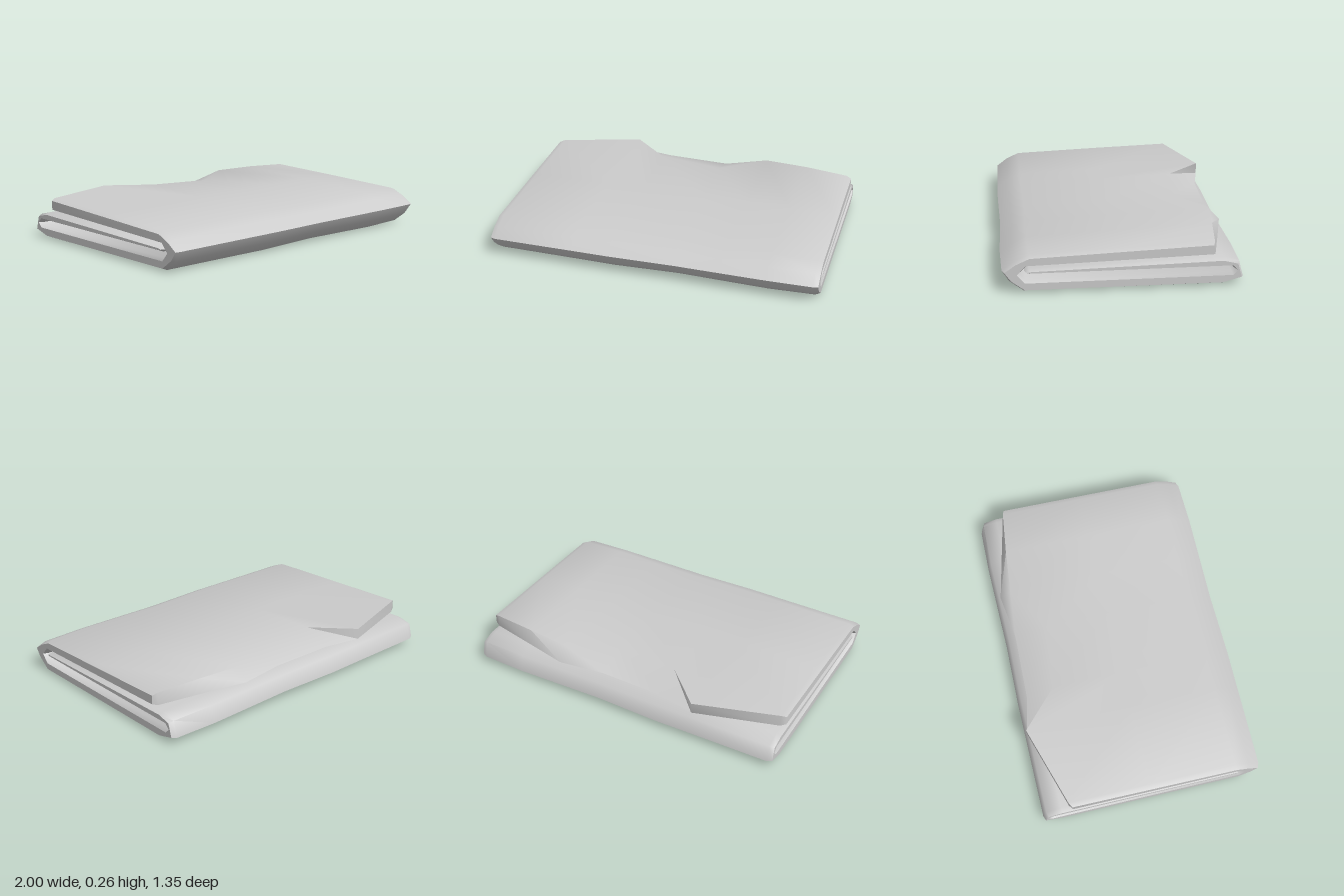
import * as THREE from 'three';
import { toCreasedNormals } from 'three/addons/utils/BufferGeometryUtils.js';

// Flap edge along the width: [x, top z, top y, bottom z, bottom y]
const flapEdge = [
  [-1, -0.5, 0.26, -0.5, 0.185],
  [-0.97, -0.51, 0.262, -0.51, 0.185],
  [-0.48, -0.66, 0.258, -0.66, 0.19],
  [-0.25, -0.44, 0.262, -0.61, 0.19],
  [0.15, -0.4, 0.258, -0.605, 0.19],
  [0.43, -0.57, 0.268, -0.64, 0.19],
  [0.7, -0.54, 0.265, -0.575, 0.187],
  [0.97, -0.51, 0.262, -0.515, 0.185],
  [1, -0.51, 0.26, -0.51, 0.185],
];

// Outside of the folded sheet, from the flap round the front and back rolls
const fold = [
  [0, 0.244], [0.53, 0.222], [0.61, 0.185], [0.68, 0.13], [0.64, 0.065], [0.56, 0.003],
  [-0.56, 0.003], [-0.675, 0.04], [-0.65, 0.14], [-0.56, 0.165],
  // middle layer, its loose front edge, and the slot below it
  [0.53, 0.14], [0.555, 0.122], [0.53, 0.105],
  [-0.61, 0.108], [-0.63, 0.09], [-0.61, 0.073],
  // inside of the front roll and underside of the flap
  [0.55, 0.07], [0.585, 0.11], [0.545, 0.152],
];

// Section (z, y) at one station, slightly pinched by a gentle wave
function section([x, tz, ty, bz, by]) {
  const pinch = 1 - 0.012 * (0.5 + 0.5 * Math.cos((x - 0.18) * 6.5));
  return [[tz, ty], ...fold, [bz, by]].map(([z, y]) =>
    new THREE.Vector2(z * pinch, 0.12 + (y - 0.12) * (1 - (1 - pinch) * 5)));
}

// Move a clockwise section inward for the softened ends
function inset(points, d) {
  const n = points.length;
  return points.map((p, i) => {
    const a = p.clone().sub(points[(i + n - 1) % n]).normalize();
    const b = points[(i + 1) % n].clone().sub(p).normalize();
    const t = a.add(b).normalize();
    return new THREE.Vector2(p.x + t.y * d, p.y - t.x * d);
  });
}

function foldedSheet() {
  const last = flapEdge.length - 1;
  const rings = flapEdge.map((row, i) =>
    i === 0 || i === last ? inset(section(row), 0.013) : section(row));
  const n = rings[0].length;
  const positions = [], index = [];
  rings.forEach((ring, i) => ring.forEach(p => positions.push(flapEdge[i][0], p.y, p.x)));

  // Skin between neighbouring sections
  for (let i = 0; i < last; i++) {
    for (let j = 0; j < n; j++) {
      const k = (j + 1) % n;
      const a = i * n + j, b = i * n + k, c = a + n, d = b + n;
      index.push(a, b, d, a, d, c);
    }
  }

  // End caps
  for (const i of [0, last]) {
    const ring = rings[i];
    for (const [a, b, c] of THREE.ShapeUtils.triangulateShape(ring, [])) {
      const ccw = ring[b].clone().sub(ring[a]).cross(ring[c].clone().sub(ring[a])) > 0;
      const keep = ccw === (i === 0);
      index.push(i * n + a, i * n + (keep ? b : c), i * n + (keep ? c : b));
    }
  }

  const geometry = new THREE.BufferGeometry();
  geometry.setAttribute('position', new THREE.Float32BufferAttribute(positions, 3));
  geometry.setIndex(index);
  return toCreasedNormals(geometry, 1.1);
}

export function createModel() {
  const group = new THREE.Group();
  group.name = 'foldedBlanket';
  const sheet = new THREE.Mesh(
    foldedSheet(),
    new THREE.MeshStandardMaterial({ color: 0xcccccc, side: THREE.DoubleSide }));
  sheet.name = 'foldedSheet';
  group.add(sheet);

  // Rest on the ground, centred in depth
  const box = new THREE.Box3().setFromObject(group);
  sheet.position.set(0, -box.min.y, -(box.min.z + box.max.z) / 2);
  return group;
}
